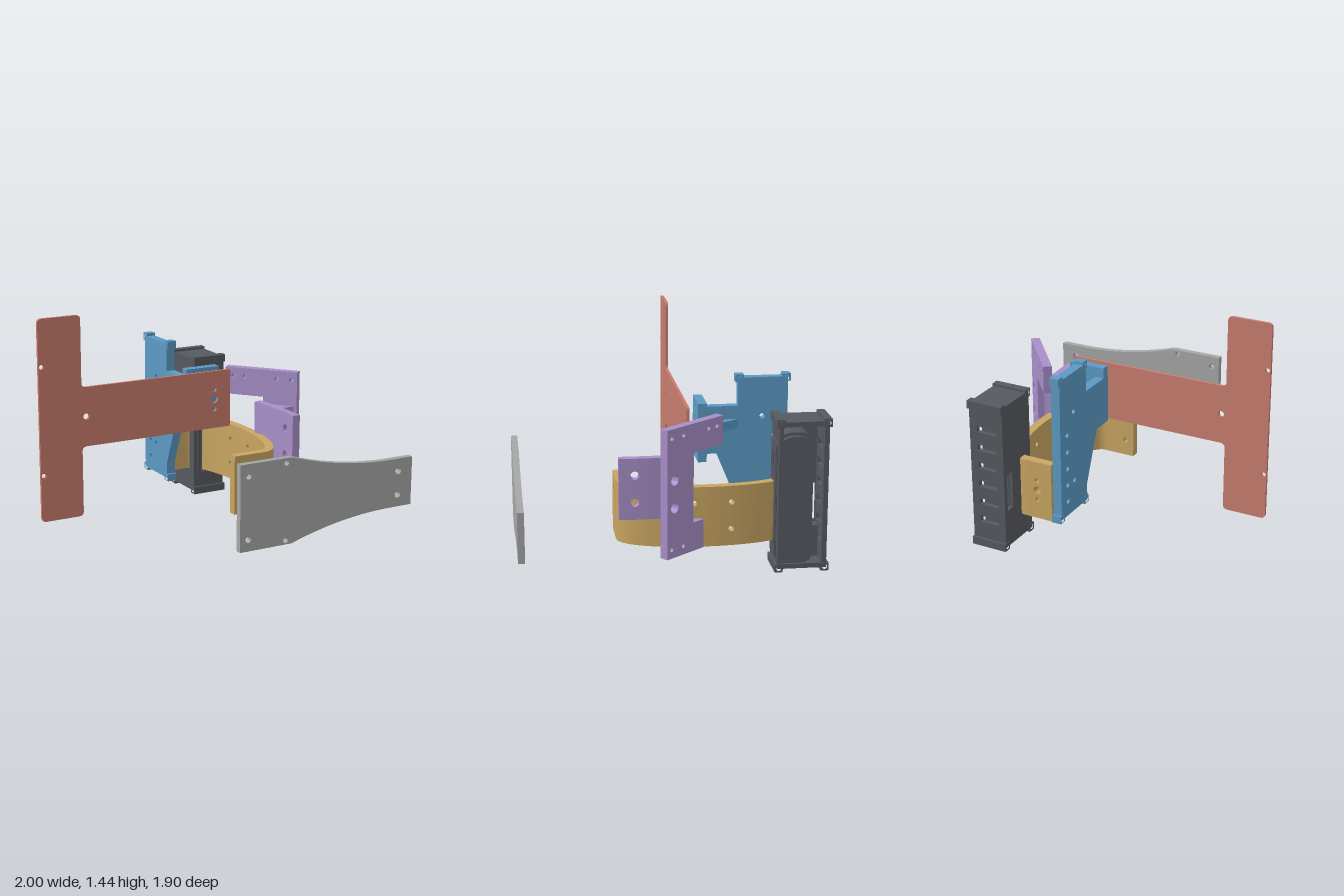
import * as THREE from 'three';
import { mergeGeometries, toCreasedNormals } from 'three/addons/utils/BufferGeometryUtils.js';

const mat = (name, color) => Object.assign(new THREE.MeshStandardMaterial({ color }), { name });

// Polygon with optional corner radius per point [x, y, r]; holes are [x, y, r] or [x, y, w, h]
function outline(pts, holes = []) {
  const s = new THREE.Shape();
  const n = pts.length;
  const toward = (a, b, r) => {
    const d = Math.hypot(b[0] - a[0], b[1] - a[1]);
    return [a[0] + (b[0] - a[0]) * r / d, a[1] + (b[1] - a[1]) * r / d];
  };
  pts.forEach((p, i) => {
    const r = p[2] || 0;
    const a = toward(p, pts[(i + n - 1) % n], r);
    if (i) s.lineTo(...a); else s.moveTo(...a);
    if (r) s.quadraticCurveTo(p[0], p[1], ...toward(p, pts[(i + 1) % n], r));
  });
  s.closePath();
  for (const [x, y, w, h] of holes) {
    const p = new THREE.Path();
    if (h) p.setFromPoints(rect(x - w / 2, y - h / 2, x + w / 2, y + h / 2).map(q => new THREE.Vector2(q[0], q[1]))).closePath();
    else p.absarc(x, y, w, 0, Math.PI * 2, true);
    s.holes.push(p);
  }
  return s;
}

const rect = (x0, y0, x1, y1, r = 0) => [[x0, y0, r], [x1, y0, r], [x1, y1, r], [x0, y1, r]];

function plate(name, material, pts, holes, depth) {
  const g = new THREE.ExtrudeGeometry(outline(pts, holes), { depth, bevelEnabled: false, curveSegments: 10 });
  const m = new THREE.Mesh(toCreasedNormals(g, 0.6), material);
  m.name = name;
  return m;
}

// Plate in the xy plane starting at z
function frontPlate(name, material, pts, holes, z, depth) {
  const m = plate(name, material, pts, holes, depth);
  m.position.z = z;
  return m;
}

// Plate given in (z, y), thick from x0 to x1
function sidePlate(name, material, pts, holes, x0, x1) {
  const m = plate(name, material, pts.map(([z, y, r]) => [-z, y, r]),
    holes.map(([z, ...rest]) => [-z, ...rest]), x1 - x0);
  m.rotation.y = Math.PI / 2;
  m.position.x = x0;
  return m;
}

// Plate given in (x, z), thick from y0 to y1
function flatPlate(name, material, pts, y0, y1) {
  const m = plate(name, material, pts, [], y1 - y0);
  m.rotation.x = Math.PI / 2;
  m.position.y = y1;
  return m;
}

// Drilled strip bent along a curve in (x, z); holes are [distance, y, r]
function bentPlate(name, material, curve, y0, y1, t, holes, step) {
  const len = curve.getLength();
  const count = Math.round(len / step);
  const cuts = [];
  for (let i = 0; i <= count; i++) {
    const u = len * i / count;
    if (i === 0 || i === count || !holes.some(h => Math.abs(h[0] - u) < h[2] + 0.004)) cuts.push(u);
  }
  const parts = [];
  for (let i = 0; i + 1 < cuts.length; i++) {
    const inside = holes.filter(h => h[0] > cuts[i] && h[0] < cuts[i + 1]);
    const g = new THREE.ExtrudeGeometry(outline(rect(cuts[i], y0, cuts[i + 1], y1), inside),
      { depth: t, bevelEnabled: false, curveSegments: 8 });
    const p = g.attributes.position;
    for (let k = 0; k < p.count; k++) {
      const f = Math.min(1, Math.max(0, p.getX(k) / len));
      const c = curve.getPointAt(f), d = curve.getTangentAt(f), w = p.getZ(k) - t / 2;
      p.setXYZ(k, c.x - d.y * w, p.getY(k), c.y + d.x * w);
    }
    parts.push(g);
  }
  const m = new THREE.Mesh(toCreasedNormals(mergeGeometries(parts), 0.6), material);
  m.name = name;
  return m;
}

function box(name, material, x0, x1, y0, y1, z0, z1) {
  const m = new THREE.Mesh(new THREE.BoxGeometry(x1 - x0, y1 - y0, z1 - z0), material);
  m.position.set((x0 + x1) / 2, (y0 + y1) / 2, (z0 + z1) / 2);
  m.name = name;
  return m;
}

function group(name, ...parts) {
  const g = new THREE.Group();
  g.name = name;
  return g.add(...parts);
}

export function createModel() {
  const red = mat('brick red', 0xc87c6e), blue = mat('steel blue', 0x5c9ac4), gold = mat('ochre', 0xc8a562);
  const grey = mat('light grey', 0xa6a6a6), dark = mat('charcoal', 0x565960), purple = mat('lavender', 0xa78fc8);
  const V = (x, y) => new THREE.Vector2(x, y);

  // T-shaped plate
  const tPlate = frontPlate('tPlate', red, [
    [-1, 0.17, 0.03], [-0.72, 0.17, 0.03], [-0.72, 0.615, 0.03], [0.325, 0.615, 0.015],
    [0.325, 0.99, 0.015], [-0.72, 0.99, 0.03], [-0.72, 1.44, 0.03], [-1, 1.44, 0.03]],
  [[-0.98, 1.145, 0.015], [-0.98, 0.465, 0.015], [-0.69, 0.805, 0.02],
    [0.21, 0.87, 0.015], [0.21, 0.805, 0.025], [0.21, 0.74, 0.015]], -0.12, 0.018);

  // Tapered plate with concave edges
  const top = [], bottom = [];
  for (let i = 0; i <= 14; i++) {
    const s = i / 14, k = (1 - s) ** 2;
    top.unshift([0.14 + 0.7 * s, 0.585 + 0.115 * k]);
    bottom.push([0.14 + 0.7 * s, 0.28 - 0.11 * k]);
  }
  const taper = frontPlate('taperedPlate', grey,
    [[-0.21, 0.17], ...bottom, [1, 0.28], [1, 0.585], ...top, [-0.21, 0.7]],
    [[-0.155, 0.625, 0.018], [-0.155, 0.24, 0.018], [0.1, 0.67, 0.016], [0.1, 0.195, 0.016],
      [0.9, 0.505, 0.02], [0.9, 0.355, 0.02]], 0.91, 0.04);

  // Bent U-shaped band
  const path = new THREE.CurvePath();
  path.add(new THREE.LineCurve(V(0.11, 0.305), V(0.33, 0.305)));
  path.add(new THREE.EllipseCurve(0.33, -0.21, 0.175, 0.515, Math.PI / 2, -Math.PI / 2, true));
  path.add(new THREE.LineCurve(V(0.33, -0.725), V(0.13, -0.725)));
  const bandHoles = [];
  for (const u of [0.06, 0.71, 0.936]) for (const y of [0.275, 0.445]) bandHoles.push([u, y, 0.017]);
  for (const y of [0.295, 0.36, 0.425]) bandHoles.push([1.47, y, y === 0.36 ? 0.024 : 0.015]);
  const band = bentPlate('curvedBand', gold, path, 0.17, 0.548, 0.055, bandHoles, 0.04);

  // Blue bracket: side plate, front flange, gusset and corner lugs
  const rowHoles = [0.3, 0.41, 0.52, 0.63, 0.74].map(y => [-0.69, y, 0.017]);
  const bracket = group('sideBracket',
    sidePlate('bracketPlate', blue, [
      [-0.18, 0.63], [-0.325, 0.63], [-0.455, 0.315], [-0.455, 0.205], [-0.77, 0.205],
      [-0.77, 1.115], [-0.455, 1.115], [-0.455, 0.935], [-0.18, 0.935]],
    [[-0.61, 0.865, 0.017], [-0.61, 0.41, 0.017], ...rowHoles], 0.05, 0.108),
    frontPlate('bracketFlange', blue, rect(0.05, 0.63, 0.285, 1),
      [[0.21, 0.87, 0.015], [0.21, 0.74, 0.015]], -0.235, 0.055),
    flatPlate('bracketGusset', blue, [[0.105, -0.46], [0.265, -0.23], [0.105, -0.23]], 0.79, 0.85));
  for (const z of [-0.465, -0.76]) for (const y of [0.21, 1.11])
    bracket.add(sidePlate('bracketLug', blue, rect(z - 0.026, y - 0.024, z + 0.026, y + 0.024),
      [[z, y - 0.005, 0.016]], 0.049, 0.109));

  // Angled C-shaped plate, joined to a curved tongue by two gussets
  const angled = plate('angledPlate', purple, [
    [0.175, 0.17], [0.494, 0.17], [0.494, 0.965], [0.005, 0.965], [0.005, 0.785],
    [0.266, 0.785], [0.266, 0.35], [0.175, 0.35]],
  [[0.43, 0.65, 0.032], [0.43, 0.48, 0.032], [0.06, 0.91, 0.014], [0.135, 0.91, 0.014],
    [0.355, 0.91, 0.014], [0.455, 0.91, 0.014], [0.355, 0.225, 0.014], [0.455, 0.225, 0.014]], 0.055);
  angled.rotation.y = -0.879;
  angled.position.set(0.43, 0, -0.315);
  const tongue = bentPlate('curvedTongue', purple,
    new THREE.QuadraticBezierCurve(V(0.553, 0.335), V(0.567, 0.1), V(0.53, -0.1)),
    0.375, 0.755, 0.05, [[0.095, 0.65, 0.026], [0.095, 0.48, 0.026]], 0.04);
  const mount = group('angledMount', angled, tongue);
  for (const y of [0.385, 0.685])
    mount.add(flatPlate('mountGusset', purple, [[0.565, -0.08], [0.715, 0.085], [0.57, 0.085]], y, y + 0.055));

  // Open-sided housing with vented walls
  const slots = [];
  for (let i = 0; i < 6; i++) slots.push([0.46, 0.18 + 0.12 * i, 0.13, 0.04]);
  const vents = [];
  for (let i = 0; i < 6; i++) vents.push([0.395 + 0.02 * i, 0.69, 0.009, 0.1], [0.395 + 0.02 * i, 0.2, 0.009, 0.1]);
  const housing = group('housing',
    frontPlate('backWall', dark, rect(0.35, 0.02, 0.575, 0.945), slots, -0.935, 0.03),
    box('frontWall', dark, 0.35, 0.575, 0.02, 0.945, -0.655, -0.63),
    frontPlate('ventPanel', dark, rect(0.37, 0.08, 0.52, 0.81, 0.04), vents, -0.632, 0.012),
    sidePlate('innerWall', dark, rect(-0.935, 0.02, -0.63, 0.945), [[-0.872, 0.38, 0.06, 0.24]], 0.348, 0.37),
    box('topWall', dark, 0.35, 0.575, 0.915, 0.945, -0.935, -0.63),
    box('bottomWall', dark, 0.35, 0.575, 0.02, 0.05, -0.935, -0.63),
    box('innerLedge', dark, 0.37, 0.45, 0.05, 0.25, -0.905, -0.84));
  for (const z of [-0.64, -0.925]) for (const y of [0.025, 0.935])
    housing.add(sidePlate('cornerRail', dark, rect(z - 0.025, y - 0.025, z + 0.025, y + 0.025), [[z, y, 0.016]], 0.345, 0.58));

  // Long rounded unit held inside the housing
  const ports = [[-0.735, 0.6, 0.05], [-0.735, 0.125, 0.05], [-0.735, 0.74, 0.035]];
  housing.add(
    sidePlate('podBody', dark, rect(-0.85, 0.01, -0.625, 0.87, 0.1), [], 0.37, 0.53),
    sidePlate('podCover', dark, rect(-0.83, 0.03, -0.64, 0.85, 0.085), ports, 0.53, 0.56));

  return group('assembly', tPlate, taper, band, bracket, mount, housing);
}
